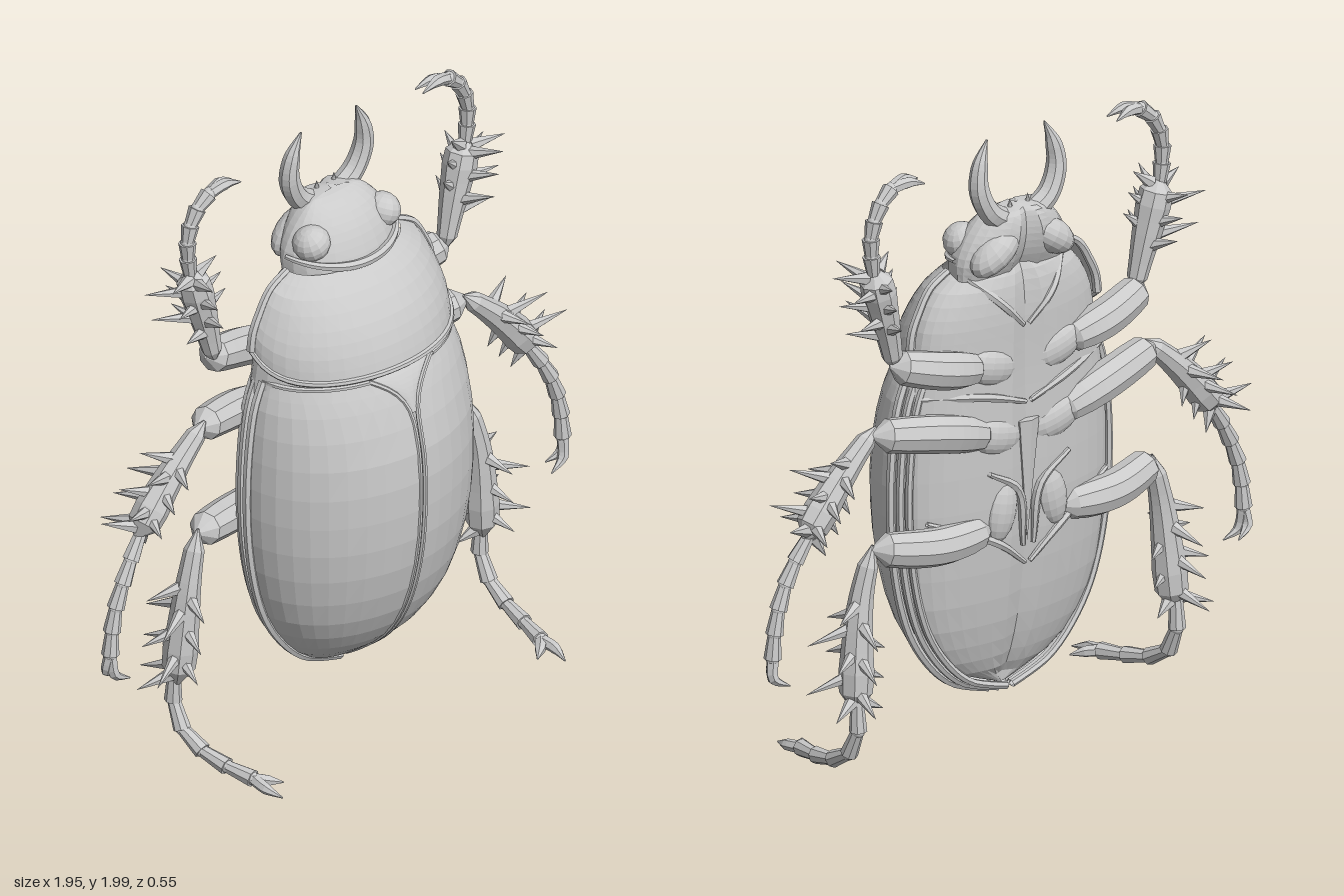
import * as THREE from 'three';

const shell = new THREE.MeshStandardMaterial({ color: 0xcacaca, flatShading: true, side: THREE.DoubleSide });
shell.name = 'grey shell';

const V = (x, y, z) => new THREE.Vector3(x, y, z);
const curveOf = (pts) => new THREE.CatmullRomCurve3(pts.map((p) => V(...p)));

function add(parent, name, geometry) {
  const mesh = new THREE.Mesh(geometry, shell);
  mesh.name = name;
  parent.add(mesh);
  return mesh;
}

// surface from a rule fn(u, v), u running upward and v around
function grid(fn, nu, nv) {
  const pos = [], idx = [];
  for (let i = 0; i <= nu; i++)
    for (let j = 0; j <= nv; j++) pos.push(...fn(i / nu, j / nv).toArray());
  for (let i = 0; i < nu; i++)
    for (let j = 0; j < nv; j++) {
      const a = i * (nv + 1) + j, b = a + nv + 1;
      idx.push(a, a + 1, b, b, a + 1, b + 1);
    }
  const g = new THREE.BufferGeometry();
  g.setAttribute('position', new THREE.Float32BufferAttribute(pos, 3));
  g.setIndex(idx);
  g.computeVertexNormals();
  return g;
}

// tapered sweep; radii are spread evenly along the path
function sweep(pts, radii, nu = 12, sides = 8) {
  const curve = curveOf(pts), f = curve.computeFrenetFrames(nu);
  return grid((u, v) => {
    const i = Math.round(u * nu), k = u * (radii.length - 1);
    const k0 = Math.min(Math.floor(k), radii.length - 2);
    const r = THREE.MathUtils.lerp(radii[k0], radii[k0 + 1], k - k0), t = v * 2 * Math.PI;
    return curve.getPointAt(u)
      .addScaledVector(f.normals[i], r * Math.cos(t))
      .addScaledVector(f.binormals[i], r * Math.sin(t));
  }, nu, sides);
}

function ball(parent, name, p, s, rz = 0) {
  const m = add(parent, name, new THREE.SphereGeometry(1, 14, 10));
  m.position.set(...p);
  m.scale.set(...s);
  m.rotation.z = rz;
}

// cylinder or cone standing on a, pointing at b
function rod(parent, name, a, b, r0, r1, sides = 6) {
  const d = b.clone().sub(a);
  const m = add(parent, name, new THREE.CylinderGeometry(r1, r0, d.length(), sides));
  m.position.copy(a).addScaledVector(d, 0.5);
  m.quaternion.setFromUnitVectors(V(0, 1, 0), d.normalize());
}

// wing case outline: half width, height, crest
const wing = curveOf([[0.03, 0.15, -0.04], [0.17, 0.2, 0.03], [0.27, 0.29, 0.13], [0.35, 0.42, 0.21],
  [0.4, 0.6, 0.265], [0.42, 0.8, 0.287], [0.415, 1.0, 0.28], [0.39, 1.17, 0.235], [0.355, 1.255, 0.2]]);
const WING_BASE = -0.045;
const wingInner = (y) => 0.01 + 0.11 * Math.pow(Math.max(0, (y - 1.06) / 0.19), 3);
function wingPoint(u, v) {
  const p = wing.getPoint(u), t0 = Math.asin(Math.min(0.9, wingInner(p.y) / p.x));
  const t = t0 + (Math.PI / 2 - t0) * v;
  return V(p.x * Math.sin(t), p.y, WING_BASE + Math.max(0, p.z - WING_BASE) * Math.cos(t));
}
const samples = (fn, n) => Array.from({ length: n + 1 }, (_, i) => fn(i / n).toArray());

function buildWingCase(side) {
  add(side, 'wingCase', grid(wingPoint, 16, 10));
  add(side, 'wingSeam', sweep(samples((u) => wingPoint(u, 0).add(V(0, 0, -0.003)), 20), [0.007, 0.008, 0.008], 36, 6));
  add(side, 'wingShoulder', sweep(samples((v) => wingPoint(1, v), 8), [0.009, 0.009], 14, 6));
  [[0, 0.014, 0.004], [-0.035, 0.013, -0.006], [-0.06, 0.012, -0.02]].forEach(([dz, r, out]) =>
    add(side, 'wingRim', sweep(samples((u) => {
      const p = wingPoint(u, 1);
      return V(Math.max(0.01, p.x + out), p.y + Math.abs(dz) * 0.3 * (1 - u), WING_BASE + dz);
    }, 16), [r, r], 36, 6)));
}

// jointed leg: thigh, spiny shin, segmented foot, two claws
function buildLeg(side, name, { thigh, shin, foot, outer, claws }) {
  const leg = new THREE.Group();
  leg.name = name;
  side.add(leg);
  add(leg, 'thigh', sweep(thigh, [0.004, 0.05, 0.058, 0.061, 0.061, 0.06, 0.058, 0.054, 0.004], 16, 9));
  add(leg, 'shin', sweep(shin, [0.004, 0.032, 0.036, 0.041, 0.046, 0.05, 0.055, 0.052, 0.004], 16, 8));
  const line = curveOf(shin);
  spineSet(outer).forEach(([t, ang, len]) => {
    const p = line.getPointAt(t), d = line.getTangentAt(t);
    const across = V(-d.y, d.x, 0).normalize();
    const dir = across.multiplyScalar(Math.cos(ang)).add(V(0, 0, Math.sin(ang))).addScaledVector(d, 0.4).normalize();
    rod(leg, 'spine', p.clone().addScaledVector(dir, 0.025), p.clone().addScaledVector(dir, len + 0.04), 0.023, 0.0005, 6);
  });
  const path = curveOf(foot), n = 5;
  for (let i = 0; i < n; i++) {
    const a = path.getPointAt(i / n), b = path.getPointAt((i + 1.08) / (n + 0.1));
    rod(leg, 'footSegment', a, b, 0.02, 0.028, 8);
    ball(leg, 'footJoint', b.toArray(), [0.021, 0.021, 0.021]);
  }
  claws.forEach((c) => add(leg, 'claw', sweep([foot[foot.length - 1], ...c], [0.02, 0.018, 0.002], 8, 6)));
}

// spines on both flanks and on the front and back of a shin
function spineSet(outer) {
  const list = [];
  for (let i = 0; i < 5; i++) list.push([0.34 + i * 0.14, outer + (i % 2 ? 0.4 : -0.4), i % 2 ? 0.13 : 0.1]);
  for (let i = 0; i < 3; i++) {
    list.push([0.4 + i * 0.2, outer + Math.PI / 2 * 0.85, 0.085]);
    list.push([0.45 + i * 0.2, outer - Math.PI / 2 * 0.85, 0.11]);
    list.push([0.55 + i * 0.18, outer + Math.PI + 0.3, 0.06]);
  }
  return list;
}

function buildSide(side) {
  buildWingCase(side);
  buildLeg(side, 'frontLeg', {
    thigh: [[0.16, 1.27, -0.17], [0.33, 1.31, -0.175], [0.51, 1.36, -0.14]],
    shin: [[0.48, 1.34, -0.13], [0.52, 1.5, -0.135], [0.575, 1.7, -0.14]],
    foot: [[0.575, 1.68, -0.14], [0.585, 1.8, -0.14], [0.555, 1.89, -0.14], [0.5, 1.94, -0.135]],
    outer: Math.PI,
    claws: [[[0.44, 1.955, -0.125], [0.38, 1.94, -0.12]], [[0.44, 1.95, -0.15], [0.385, 1.935, -0.16]]],
  });
  buildLeg(side, 'middleLeg', {
    thigh: [[0.12, 1.04, -0.17], [0.33, 1.1, -0.17], [0.57, 1.14, -0.12]],
    shin: [[0.54, 1.16, -0.11], [0.68, 1.03, -0.11], [0.83, 0.86, -0.11]],
    foot: [[0.81, 0.87, -0.11], [0.88, 0.76, -0.1], [0.93, 0.63, -0.1], [0.945, 0.5, -0.1]],
    outer: 0,
    claws: [[[0.935, 0.43, -0.09], [0.88, 0.4, -0.08]], [[0.95, 0.44, -0.11], [0.9, 0.41, -0.13]]],
  });
  buildLeg(side, 'hindLeg', {
    thigh: [[0.13, 0.74, -0.175], [0.35, 0.735, -0.175], [0.57, 0.765, -0.12]],
    shin: [[0.56, 0.78, -0.12], [0.605, 0.6, -0.115], [0.64, 0.25, -0.13]],
    foot: [[0.64, 0.3, -0.14], [0.64, 0.17, -0.14], [0.64, 0.09, -0.08], [0.625, 0.05, 0.05], [0.6, 0.035, 0.17]],
    outer: 0,
    claws: [[[0.605, 0.028, 0.23], [0.59, 0.015, 0.29]], [[0.57, 0.03, 0.2], [0.53, 0.02, 0.23]]],
  });

  // head details
  ball(side, 'eye', [0.147, 1.655, -0.055], [0.06, 0.055, 0.06], -0.4);
  ball(side, 'cheek', [0.11, 1.64, -0.165], [0.1, 0.055, 0.06], -0.6);
  add(side, 'jaw', sweep([[0.05, 1.72, -0.15], [0.12, 1.77, -0.15], [0.155, 1.85, -0.145], [0.146, 1.93, -0.14], [0.115, 2.0, -0.135]],
    [0.038, 0.036, 0.033, 0.026, 0.003], 18, 8));
  rod(side, 'browSpike', V(0.035, 1.75, -0.15), V(0.036, 1.79, -0.15), 0.013, 0.0005);

  // underside plates
  ball(side, 'hindHip', [0.1, 0.79, -0.185], [0.055, 0.1, 0.036], 0.2);
  ball(side, 'middleHip', [0.12, 1.04, -0.18], [0.1, 0.06, 0.035], 0.25);
  ball(side, 'frontHip', [0.13, 1.27, -0.175], [0.1, 0.06, 0.035], 0.25);
  const ridges = [
    ['bellyRidge', [[0.01, 0.6, -0.19], [0.12, 0.69, -0.195], [0.36, 0.8, -0.14]]],
    ['hipRidge', [[0.02, 0.66, -0.195], [0.045, 0.85, -0.2], [0.16, 0.93, -0.2]]],
    ['chestRidge', [[0.01, 1.13, -0.195], [0.16, 1.18, -0.19], [0.36, 1.2, -0.11]]],
    ['throatRidge', [[0.01, 1.38, -0.185], [0.1, 1.47, -0.19], [0.19, 1.56, -0.13]]],
  ];
  ridges.forEach(([name, pts]) => add(side, name, sweep(pts, [0.008, 0.014, 0.014, 0.008], 12, 6)));
}

// closed loft with separate front and back depth about z = c
function loft(profile, front, c, groove, nu, nv) {
  return grid((u, v) => {
    const p = profile.getPoint(u), t = v * 2 * Math.PI, x = p.x * Math.sin(t), k = Math.cos(t);
    const cut = groove * Math.exp(-((x / 0.03) ** 2));
    return V(x, p.y, k > 0 ? c + (front(u) - c) * k : c + Math.min(0, p.z - c + cut) * -k);
  }, nu, nv);
}

export function createModel() {
  const model = new THREE.Group();
  model.name = 'beetle';

  // belly and chest, filling the space under the shells
  const belly = curveOf([[0.01, 0.17, -0.07], [0.23, 0.27, -0.125], [0.35, 0.44, -0.17], [0.395, 0.7, -0.2],
    [0.4, 1.0, -0.205], [0.375, 1.2, -0.2], [0.352, 1.33, -0.2], [0.33, 1.43, -0.2], [0.26, 1.53, -0.19], [0.1, 1.6, -0.16]]);
  add(model, 'belly', loft(belly, (u) => -0.07 + 0.27 * Math.sin(Math.PI * u), -0.07, 0.02, 24, 36));
  const keel = add(model, 'breastKeel', new THREE.ConeGeometry(0.045, 0.4, 6));
  keel.position.set(0, 0.87, -0.19);
  keel.scale.z = 0.5;
  keel.rotation.z = Math.PI;

  // small plate filling the notch between the wing cases
  add(model, 'scutellum', grid((u, v) => {
    const edge = wingPoint(0.84 + 0.16 * u, 0), s = v * 2 - 1;
    return V(edge.x * s, edge.y, edge.z - 0.006 + 0.008 * (1 - s * s));
  }, 8, 6));

  // neck shield: half width, height, crest
  const shield = curveOf([[0.375, 1.265, 0.205], [0.368, 1.345, 0.185], [0.34, 1.43, 0.15], [0.295, 1.52, 0.09], [0.225, 1.58, 0.035]]);
  const shieldPoint = (u, v) => {
    const p = shield.getPoint(u), a = v * 2 - 1, t = a * Math.PI / 2;
    const lift = 0.09 * Math.pow(Math.abs(a), 5) * (1 - u) + 0.012 * (1 - a * a) * (1 - 2 * u);
    return V(p.x * Math.sin(t), p.y + lift, -0.08 + (p.z + 0.08) * Math.cos(t));
  };
  add(model, 'neckShield', grid(shieldPoint, 8, 22));
  add(model, 'shieldRim', sweep(samples((v) => shieldPoint(0, v), 20), [0.01, 0.01], 36, 6));
  [0, 1].forEach((v) => add(model, 'shieldEdge', sweep(samples((u) => shieldPoint(u, v), 8), [0.015, 0.012], 14, 6)));

  // head with lip
  const head = curveOf([[0.21, 1.55, -0.17], [0.212, 1.61, -0.2], [0.185, 1.67, -0.215], [0.145, 1.72, -0.215], [0.1, 1.755, -0.205], [0.01, 1.77, -0.16]]);
  add(model, 'head', loft(head, (u) => 0.045 - 0.06 * u - 0.13 * u * u, -0.11, 0.03, 12, 24));
  const lip = samples((s) => {
    const t = (s * 2 - 1) * 1.5;
    return V(0.212 * Math.sin(t), 1.578 + 0.035 * Math.sin(t) ** 2, -0.11 + 0.155 * Math.cos(t));
  }, 16);
  add(model, 'lip', sweep(lip, [0.008, 0.015, 0.015, 0.008], 30, 6));

  // mirrored halves
  [['leftSide', 1], ['rightSide', -1]].forEach(([name, s]) => {
    const side = new THREE.Group();
    side.name = name;
    buildSide(side);
    side.scale.x = s;
    model.add(side);
  });
  return model;
}
